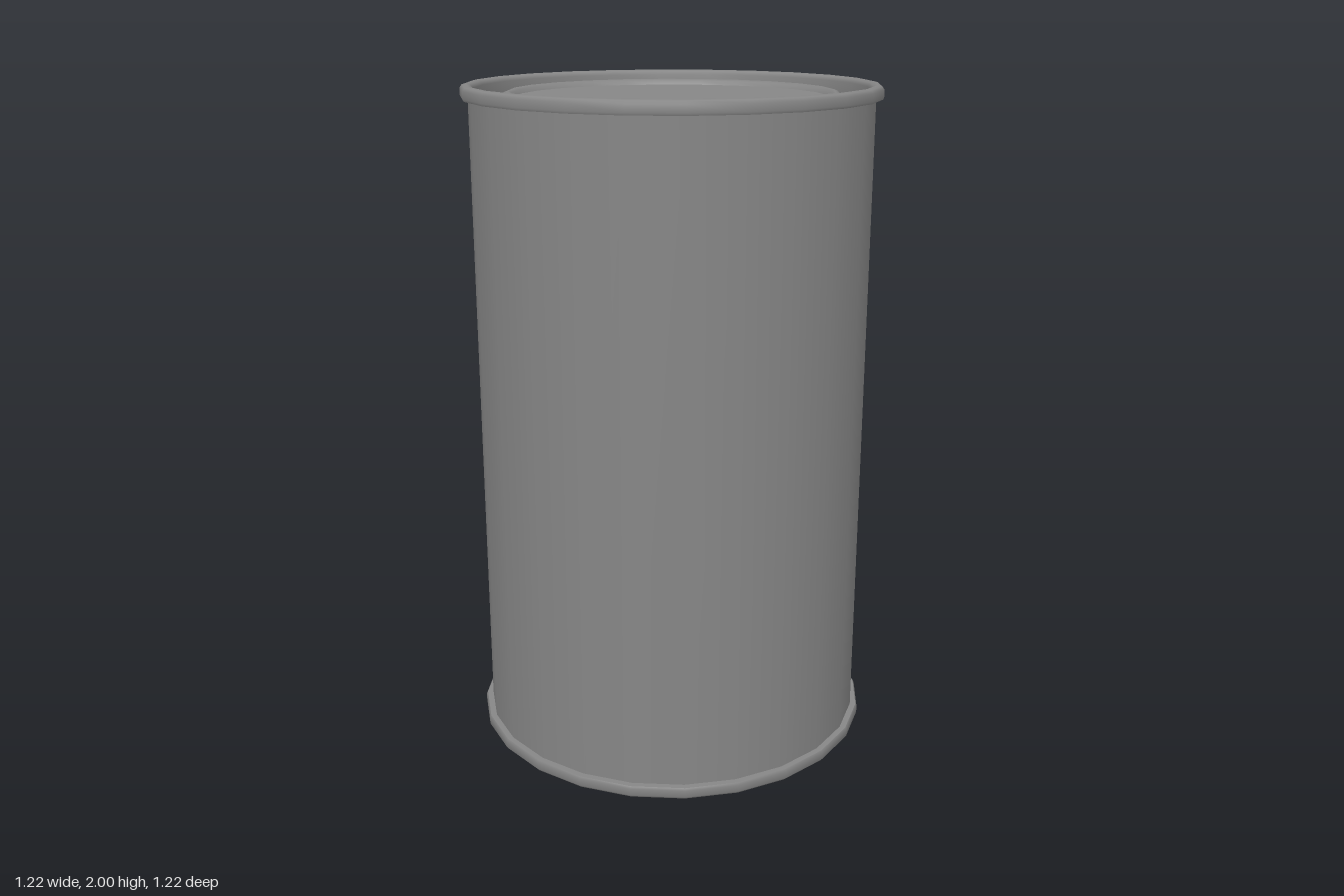
import * as THREE from 'three';

const SIDES = 24;
const BODY_R = 0.59;

export function createModel() {
  const group = new THREE.Group();
  const material = new THREE.MeshStandardMaterial({ color: 0x868686 });

  const add = (name, geometry, y = 0) => {
    const mesh = new THREE.Mesh(geometry, material);
    mesh.name = name;
    mesh.position.y = y;
    group.add(mesh);
    return mesh;
  };

  // Turned part from [radius, height] pairs; a repeated pair keeps that edge sharp
  const turn = (points) =>
    new THREE.LatheGeometry(points.map(([r, y]) => new THREE.Vector2(r, y)), SIDES);

  // Flat face, turned to look up (+1) or down (-1)
  const addFlat = (name, geometry, y, up) => {
    add(name, geometry, y).rotation.x = -up * Math.PI / 2;
  };

  // Can wall
  add('body', new THREE.CylinderGeometry(BODY_R, BODY_R, 1.96, SIDES, 1, true), 0.985);

  // Rolled rim around the base, with a flat ledge on top
  add('bottomRim', turn([
    [BODY_R, 0], [0.604, 0.004], [0.612, 0.013], [0.612, 0.034],
    [0.608, 0.041], [0.608, 0.041], [BODY_R, 0.041],
  ]));
  addFlat('base', new THREE.CircleGeometry(BODY_R, SIDES), 0, -1);

  // Rolled rim around the top, its inner wall reaching down to the lid
  add('topRim', turn([
    [BODY_R, 1.96], [0.609, 1.96], [0.609, 1.96], [0.612, 1.967], [0.612, 1.988],
    [0.605, 1.997], [0.594, 2], [0.582, 1.996], [0.575, 1.985], [0.575, 1.945],
  ]));

  // Lid: sunken outer ring, raised bead and centre panel
  addFlat('lidOuterRing', new THREE.RingGeometry(0.495, 0.576, SIDES), 1.945, 1);
  add('lidBead', turn([
    [0.496, 1.945], [0.495, 1.962], [0.488, 1.973], [0.476, 1.978],
    [0.464, 1.973], [0.456, 1.96],
  ]));
  addFlat('lidPanel', new THREE.CircleGeometry(0.457, SIDES), 1.961, 1);

  return group;
}
